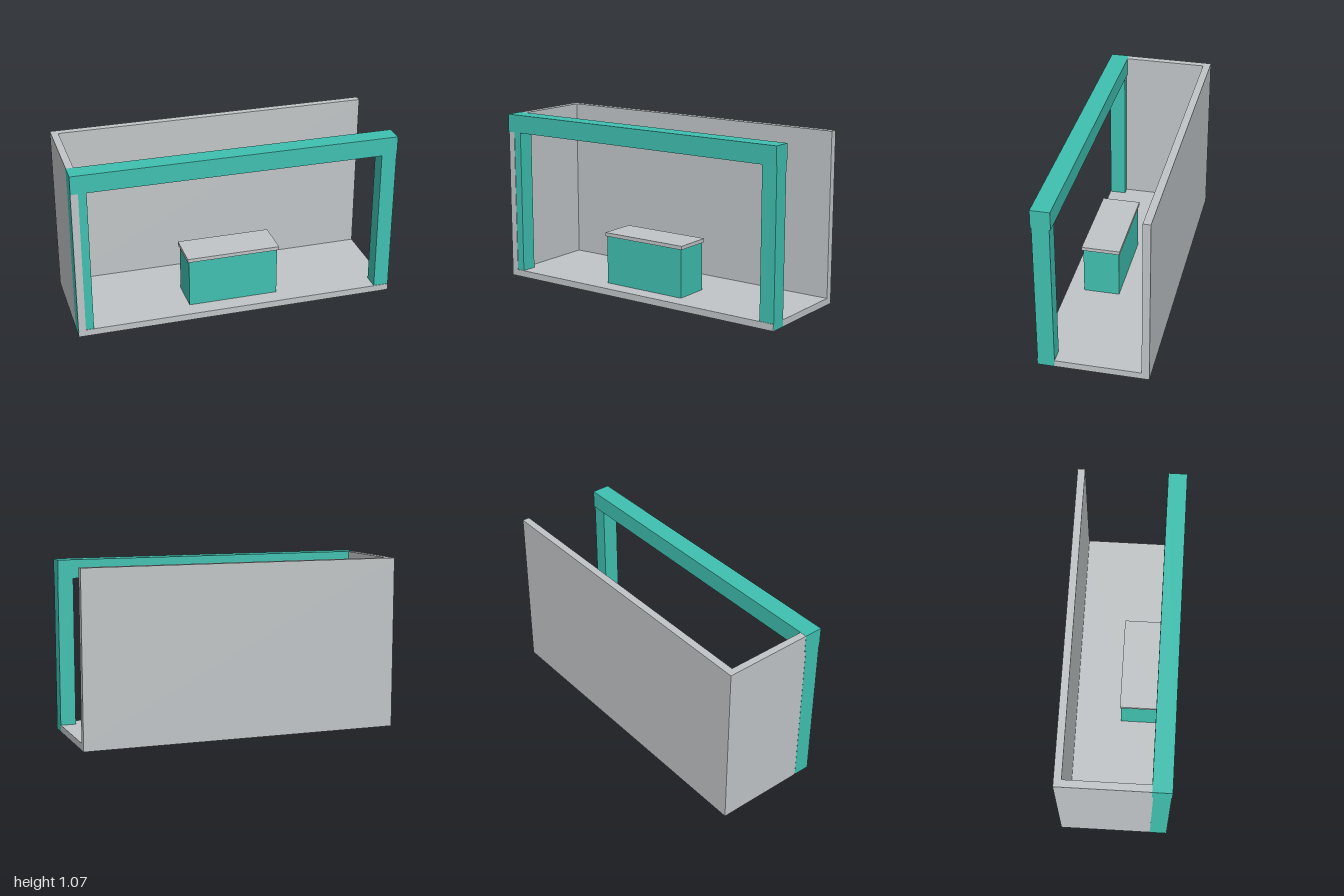
import * as THREE from 'three';

export function createModel() {
  const model = new THREE.Group();
  model.name = 'exhibitionBooth';

  const grey = new THREE.MeshStandardMaterial({ color: 0xc2c6c8 });
  grey.name = 'light grey';
  const teal = new THREE.MeshStandardMaterial({ color: 0x40c1b1 });
  teal.name = 'teal';

  // Box given by its extents along each axis
  function slab(name, material, [x0, x1], [y0, y1], [z0, z1]) {
    const mesh = new THREE.Mesh(new THREE.BoxGeometry(x1 - x0, y1 - y0, z1 - z0), material);
    mesh.position.set((x0 + x1) / 2, (y0 + y1) / 2, (z0 + z1) / 2);
    mesh.name = name;
    model.add(mesh);
  }

  // Shell: floor, back wall and one side wall, a hair inside the teal frame
  slab('floor', grey, [-0.999, 0.999], [0, 0.042], [-0.336, 0.333]);
  slab('backWall', grey, [-0.999, 0.999], [0.042, 1.066], [-0.336, -0.29]);
  slab('sideWall', grey, [-0.999, -0.955], [0.042, 1.066], [-0.29, 0.333]);

  // Front frame: two posts carrying a beam
  for (const side of [-1, 1]) {
    const xs = [side, side * 0.905].sort((a, b) => a - b);
    slab(side < 0 ? 'rightPost' : 'leftPost', teal, xs, [0.001, 0.953], [0.228, 0.33]);
  }
  slab('beam', teal, [-1, 1], [0.953, 1.067], [0.22, 0.336]);

  // Counter with an overhanging top
  slab('counterBase', teal, [-0.283, 0.283], [0.001, 0.347], [0.004, 0.228]);
  slab('counterTop', grey, [-0.293, 0.293], [0.347, 0.37], [-0.003, 0.237]);

  return model;
}
